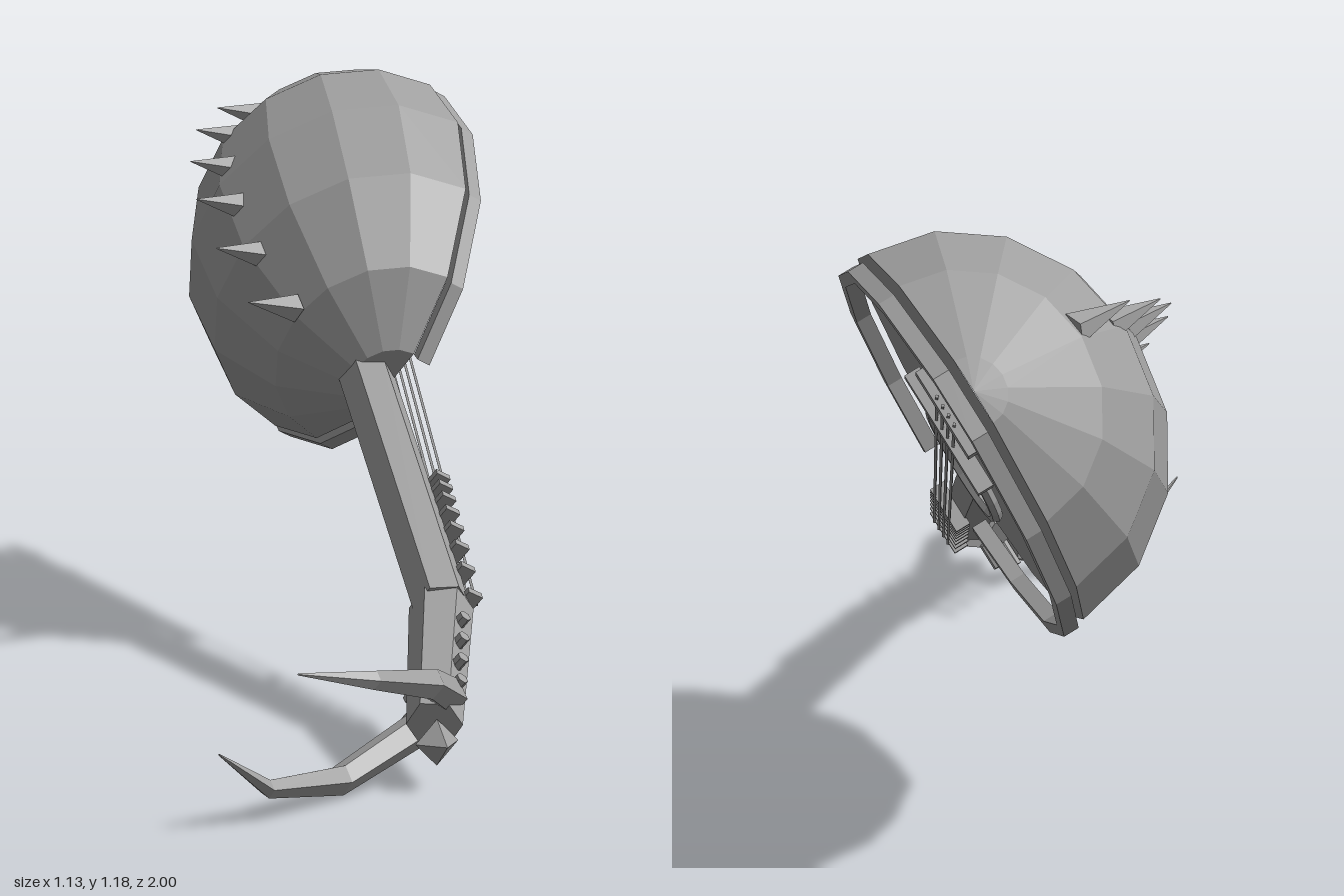
import * as THREE from 'three';

const V = (x, y, z) => new THREE.Vector3(x, y, z);

// Faceted tapering limb through a list of points, one radius per point
function limb(points, radii, sides) {
  const dir = points[points.length - 1].clone().sub(points[0]).normalize();
  const u = V(0, 1, 0).cross(dir).normalize();
  const v = dir.clone().cross(u);
  const pts = [points[0], ...points, points[points.length - 1]];
  const rad = [0, ...radii, 0];
  const pos = [], index = [];
  pts.forEach((p, i) => {
    for (let j = 0; j < sides; j++) {
      const a = (j / sides) * Math.PI * 2;
      const q = p.clone().addScaledVector(u, Math.cos(a) * rad[i]).addScaledVector(v, Math.sin(a) * rad[i]);
      pos.push(q.x, q.y, q.z);
      if (i === pts.length - 1) continue;
      const k = (j + 1) % sides, b = i * sides, t = b + sides;
      index.push(b + j, b + k, t + j, b + k, t + k, t + j);
    }
  });
  const g = new THREE.BufferGeometry();
  g.setAttribute('position', new THREE.Float32BufferAttribute(pos, 3));
  g.setIndex(index);
  g.computeVertexNormals();
  return g;
}

export function createModel() {
  const model = new THREE.Group();
  model.name = 'spikedLute';
  const grey = new THREE.MeshStandardMaterial({ color: 0xa0a0a0, flatShading: true });
  grey.name = 'grey';

  // Tilted instrument frame: x across, y along the neck to the tail, z out of the soundboard
  const out = V(0.891, -0.454, 0).normalize();
  const along = V(0.237, 0.465, -0.853).normalize();
  const across = along.clone().cross(out).normalize();
  const lute = new THREE.Group();
  lute.name = 'lute';
  lute.quaternion.setFromRotationMatrix(new THREE.Matrix4().makeBasis(across, along, out));
  lute.position.set(0.336, 0.685, -0.375);
  model.add(lute);

  const add = (parent, name, geometry, x = 0, y = 0, z = 0) => {
    const m = new THREE.Mesh(geometry, grey);
    m.name = name;
    m.position.set(x, y, z);
    parent.add(m);
    return m;
  };

  // Half outline of the body: [half width, distance along the neck axis]
  const half = [[0.09, -0.277], [0.232, -0.185], [0.345, -0.01], [0.378, 0.2],
    [0.337, 0.41], [0.232, 0.58], [0.06, 0.695]];
  const mirrored = (list) => [...list, ...list.slice().reverse().map(([x, y]) => [-x, y])];
  const vec2 = (list) => list.map(([x, y]) => new THREE.Vector2(x, y));
  const outline = mirrored(half);

  // Ribbed bowl and flat soundboard
  const profile = vec2([[0, -0.277], ...half, [0, 0.703]]);
  const bowl = add(lute, 'bowl', new THREE.LatheGeometry(profile, 8, Math.PI / 2, Math.PI), 0.005, 0, -0.042);
  bowl.scale.z = 0.92;
  add(lute, 'soundboard', new THREE.ShapeGeometry(new THREE.Shape(vec2(outline))), 0.005, 0, -0.042);

  // Raised binding, open at the neck
  const inner = outline.map(([x, y]) => [x * 0.935, 0.2 + (y - 0.2) * 0.95]);
  const binding = new THREE.Shape(vec2([...outline, ...inner.reverse()]));
  add(lute, 'binding', new THREE.ExtrudeGeometry(binding, { depth: 0.03, bevelEnabled: false }), 0.013, 0, -0.027);

  // Sound hole ring
  const hole = add(lute, 'soundHoleRing', new THREE.TorusGeometry(0.122, 0.012, 6, 20), 0.016, 0, -0.026);
  hole.scale.x = 0.92;

  // Bridge and tailpiece
  add(lute, 'bridge', new THREE.BoxGeometry(0.24, 0.028, 0.03), 0, 0.391, 0);
  add(lute, 'tailpiece', new THREE.BoxGeometry(0.165, 0.036, 0.03), 0, 0.608, 0);

  // Six-sided neck, sloping back a little towards the body
  const neck = add(lute, 'neck', new THREE.CylinderGeometry(0.058, 0.055, 0.75, 6, 1, false, Math.PI / 6),
    0.01, -0.615, -0.07);
  neck.rotation.set(-0.035, 0, -0.025);

  // Frets, closer together towards the body
  for (let i = 0; i < 8; i++) {
    const y = -0.97 + 0.36 * (1 - Math.pow(0.86, i)) / (1 - Math.pow(0.86, 7));
    add(lute, 'fret', new THREE.BoxGeometry(0.1, 0.014, 0.032), 0.003, y, -0.009);
  }

  // Strings
  for (let i = 0; i < 4; i++) {
    add(lute, 'string', new THREE.CylinderGeometry(0.0035, 0.0035, 1.62, 4), -0.027 + i * 0.018, -0.165, 0.008);
  }

  // Bent-back head
  const nut = V(0.055, 0.245, 0.458), end = V(-0.115, 0.115, 0.775);
  add(model, 'head', limb([nut, end], [0.06, 0.05], 6));

  // Tuning pegs, four through each side of the head
  for (const f of [0.27, 0.45, 0.63, 0.81]) {
    const c = nut.clone().lerp(end, f).addScaledVector(out, 0.01).addScaledVector(across, 0.02);
    for (const side of [-1, 1]) {
      add(model, 'peg', limb([c, c.clone().addScaledVector(across, side * 0.088)], [0.012, 0.012], 6));
    }
  }

  // Stud at the tip of the head
  add(model, 'headStud', new THREE.OctahedronGeometry(0.042), -0.115, 0.085, 0.785);

  // Two curved horns
  const radii = [0.034, 0.028, 0.017, 0.002];
  add(model, 'upperHorn', limb([V(-0.06, 0.15, 0.73), V(-0.17, 0.215, 0.87), V(-0.33, 0.26, 0.975),
    V(-0.475, 0.288, 0.995)], radii, 5));
  add(model, 'lowerHorn', limb([V(-0.11, 0.085, 0.69), V(-0.28, 0.025, 0.74), V(-0.455, 0.048, 0.82),
    V(-0.568, 0.133, 0.877)], radii, 5));

  // Row of spikes down the spine of the bowl
  const tips = [[-0.063, 0.752, -0.17], [-0.082, 0.849, -0.29], [-0.075, 0.937, -0.41],
    [-0.035, 1.003, -0.537], [0.035, 1.057, -0.675], [0.13, 1.094, -0.785]];
  for (const t of tips) {
    const tip = V(...t), base = tip.clone().add(V(0.122, -0.024, -0.058));
    add(model, 'spike', limb([base, tip], [0.03, 0.001], 5));
  }

  return model;
}
